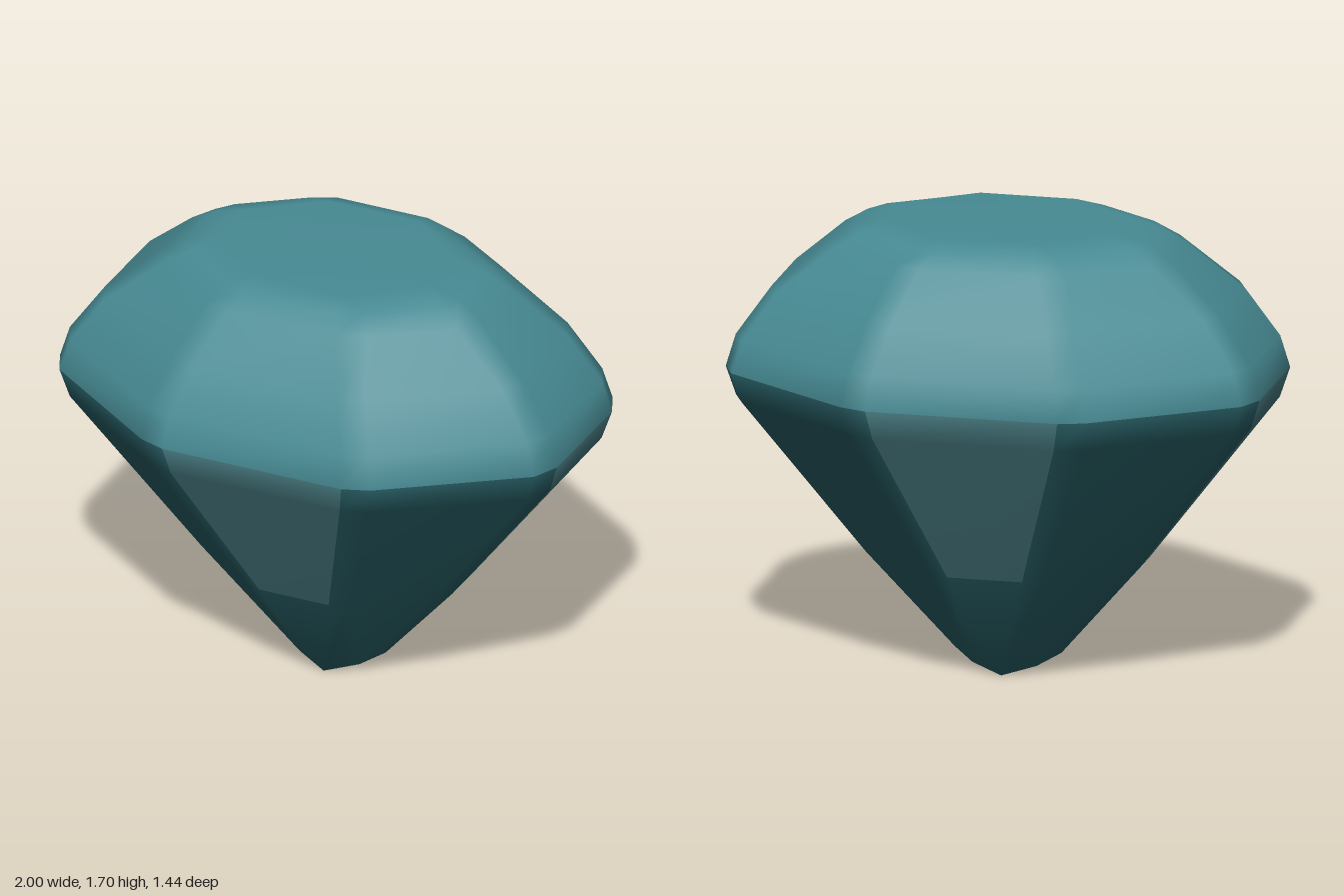
import * as THREE from 'three';

// Each ring: height of a to d, then quadrant points [x, z] running from the side (+x) to the front (+z).
const ring = (y, ...q) => q.map(([x, z, h = y]) => [x, h, z]);
const RINGS = [
  ring(1.70, [0.43, 0.115], [0.43, 0.115], [0.18, 0.31], [0.18, 0.31]),
  ring(1.67, [0.55, 0.11], [0.50, 0.195], [0.27, 0.36], [0.18, 0.40]),
  ring(1.615, [0.64, 0.13], [0.59, 0.225], [0.32, 0.42], [0.22, 0.46]),
  ring(1.44, [0.84, 0.19], [0.80, 0.28], [0.39, 0.57], [0.29, 0.605]),
  ring(1.26, [0.965, 0.225], [0.92, 0.32], [0.445, 0.655], [0.345, 0.69]),
  ring(1.14, [1.0, 0.235], [0.955, 0.335], [0.46, 0.685], [0.36, 0.72]),
  ring(1.03, [0.965, 0.22], [0.92, 0.32], [0.445, 0.655], [0.34, 0.69]),
  ring(0.43, [0.51, 0.09], [0.47, 0.15], [0.21, 0.335], [0.14, 0.36]),
  ring(0, [0.2, 0, 0.07], [0.12, 0.055, 0.03], [0.12, 0.055, 0.03], [0, 0.105]),
];
const GIRDLE = 5, N = 16;

// Mirror a quadrant into a full ring of 16 points
function fullRing(q) {
  const r = [...q].reverse();
  const flip = (pts, sx, sz) => pts.map(([x, y, z]) => new THREE.Vector3(x * sx, y, z * sz));
  return [...flip(q, 1, 1), ...flip(r, -1, 1), ...flip(q, -1, -1), ...flip(r, 1, -1)];
}

export function createModel() {
  const material = (name, color) => {
    const m = new THREE.MeshStandardMaterial({ color });
    m.name = name;
    return m;
  };
  const parts = {
    crown: { mat: material('teal', 0x478a93), tris: [] },
    pavilion: { mat: material('deepTeal', 0x24585e), tris: [] },
    pavilionPanels: { mat: material('greyTeal', 0x44757b), tris: [] },
  };

  // Soft normals, weighted so that large facets stay flat and bevels blend
  const normals = new Map();
  const key = (v) => v.toArray().map((c) => Math.round(c * 1e4) + 0).join();
  const add = (part, a, b, c) => {
    const n = b.clone().sub(a).cross(c.clone().sub(a));
    if (n.length() < 1e-7) return;
    n.multiplyScalar(n.length());
    for (const v of [a, b, c]) {
      const k = key(v);
      if (!normals.has(k)) normals.set(k, new THREE.Vector3());
      normals.get(k).add(n);
    }
    parts[part].tris.push(a, b, c);
  };

  // Facet bands from the table down to the point
  const rings = RINGS.map(fullRing);
  for (let r = 0; r < rings.length - 1; r++) {
    for (let i = 0; i < N; i++) {
      const j = (i + 1) % N, U = rings[r], L = rings[r + 1];
      const panel = i % 4 === 3 && r < GIRDLE + 2;
      const part = r < GIRDLE ? 'crown' : panel ? 'pavilionPanels' : 'pavilion';
      add(part, U[i], U[j], L[j]);
      add(part, U[i], L[j], L[i]);
    }
  }

  // Flat table on top
  const top = rings[0], centre = new THREE.Vector3(0, 1.7, 0);
  for (let i = 0; i < N; i++) add('crown', centre, top[(i + 1) % N], top[i]);

  // Keel: two sloping faces meeting in a short ridge along z
  const low = rings[rings.length - 1];
  for (const [a, b, c] of [[0, 1, 3], [0, 3, 12], [0, 12, 13], [8, 9, 11], [8, 11, 4], [8, 4, 5]]) {
    add('pavilion', low[a], low[b], low[c]);
  }

  for (const n of normals.values()) n.normalize();
  const group = new THREE.Group();
  group.name = 'gem';
  for (const [name, { mat, tris }] of Object.entries(parts)) {
    const geo = new THREE.BufferGeometry().setFromPoints(tris);
    const nor = tris.flatMap((v) => normals.get(key(v)).toArray());
    geo.setAttribute('normal', new THREE.Float32BufferAttribute(nor, 3));
    const mesh = new THREE.Mesh(geo, mat);
    mesh.name = name;
    group.add(mesh);
  }
  return group;
}
